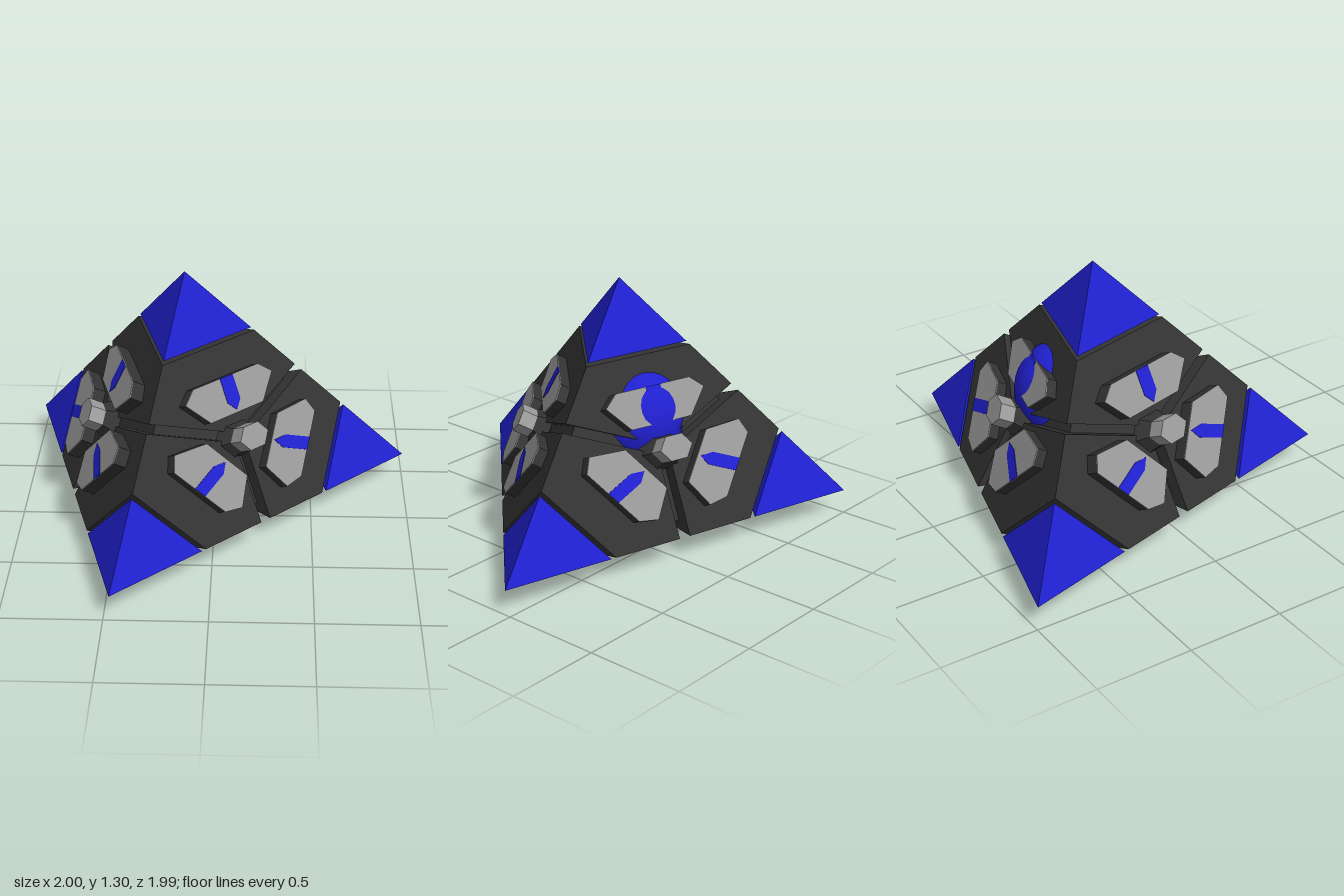
import * as THREE from 'three';
import { ConvexGeometry } from 'three/addons/geometries/ConvexGeometry.js';

const V = (x, y, z) => new THREE.Vector3(x, y, z);

// Corners of the pyramid: apex first, then the three base corners
const corners = [V(-0.157, 1.305, -0.158), V(-1, 0.125, -0.995), V(1, 0.125, -0.47), V(-0.47, 0.125, 0.99)];
const middle = corners.reduce((s, c) => s.add(c), V(0, 0, 0)).divideScalar(4);

const paint = (color) => new THREE.MeshStandardMaterial({ color, flatShading: true });
const dark = paint(0x333333), grey = paint(0x999999), blue = paint(0x2020d0);

// Point from four corner weights
const mix = (w) => w.reduce((p, k, i) => p.addScaledVector(corners[i], k), V(0, 0, 0));

// Weights with given values at chosen corners, the rest sharing the remainder
function weights(set) {
  const given = Object.values(set).reduce((a, b) => a + b, 0);
  const rest = (1 - given) / (4 - Object.keys(set).length);
  return [0, 1, 2, 3].map((i) => set[i] ?? rest);
}

function solid(parent, name, points, material) {
  const mesh = new THREE.Mesh(new ConvexGeometry(points), material);
  mesh.name = name;
  parent.add(mesh);
}

// Local frame of one face: u across, v towards its first corner, w outwards
function faceFrame([a, b, c], lift) {
  const centre = V(0, 0, 0).add(a).add(b).add(c).divideScalar(3);
  const up = a.clone().sub(centre);
  const across = c.clone().sub(b).divideScalar(Math.sqrt(3));
  const out = across.clone().cross(up).normalize();
  if (out.dot(centre.clone().sub(middle)) < 0) out.negate();
  return (u, v, w) => centre.clone().addScaledVector(across, u).addScaledVector(up, v).addScaledVector(out, w + lift);
}

// Prism on a face from a flat outline, turned about the face centre
function prism(at, outline, turn, w0, w1, scale0 = 1) {
  const c = Math.cos(turn), s = Math.sin(turn);
  const ring = (w, k) => outline.map(([u, v]) => at((u * c - v * s) * k, (u * s + v * c) * k, w));
  return [...ring(w0, scale0), ...ring(w1, 1)];
}

const mirrored = (half) => [...half, ...half.map(([u, v]) => [-u, v])];
const panelOutline = mirrored([[0.185, 0.365], [0.247, 0.295], [0.15, 0.15]]);
const stripeOutline = [...mirrored([[0.036, 0.365], [0.036, 0.22]]), [0, 0.165]];
const hexagon = Array.from({ length: 6 }, (_, i) => [0.08 * Math.cos(i * Math.PI / 3), 0.08 * Math.sin(i * Math.PI / 3)]);

export function createModel() {
  const model = new THREE.Group();
  model.name = 'pyramidPuzzle';

  // Inner core seen at the bottom of the grooves
  const core = [];
  for (let i = 0; i < 4; i++)
    for (let j = 0; j < 4; j++)
      if (i !== j) core.push(mix(weights({ [i]: 0.66, [j]: 0.26 })));
  solid(model, 'core', core, dark);

  corners.forEach((corner, i) => {
    const others = [0, 1, 2, 3].filter((j) => j !== i);

    // Loose blue tip
    solid(model, 'cornerTip', [corner, ...others.map((j) => corner.clone().lerp(corners[j], 0.288))], blue);

    // Dark corner block, parted from its neighbours by grooves
    const block = [mix(weights({ [i]: 0.2725 }))];
    for (const j of others) {
      block.push(corner.clone().lerp(corners[j], 0.302), corner.clone().lerp(corners[j], 0.485));
      block.push(mix(weights({ [i]: 0.354, [j]: 0 })));
    }
    solid(model, 'cornerBlock', block, dark);

    // Face opposite this corner; the left face stands out a little further
    const at = faceFrame(others.map((j) => corners[j]), i === 2 ? 0.015 : 0);
    const face = new THREE.Group();
    face.name = 'facePlates';
    for (let k = 0; k < 3; k++) {
      const turn = (k * 2 * Math.PI) / 3;
      solid(face, 'panelBase', prism(at, panelOutline, turn, -0.03, 0.051), dark);
      solid(face, 'panel', prism(at, panelOutline, turn, 0.051, 0.055), grey);
      solid(face, 'panelStripe', prism(at, stripeOutline, turn, 0.05, 0.0575), blue);
    }
    // Hub with a flared foot
    solid(face, 'hubFoot', prism(at, hexagon, 0, -0.03, 0.045, 1.5), dark);
    solid(face, 'hub', prism(at, hexagon, 0, 0.02, 0.125), grey);
    model.add(face);
  });

  // Blue ball inside, breaking through the back face
  const ballMaterial = new THREE.MeshStandardMaterial({ color: 0x2020d0 });
  const ball = new THREE.Mesh(new THREE.SphereGeometry(0.256, 40, 24), ballMaterial);
  ball.name = 'innerBall';
  ball.position.copy(faceFrame([corners[0], corners[1], corners[2]], 0)(0, 0.24, -0.18));
  model.add(ball);

  return model;
}
